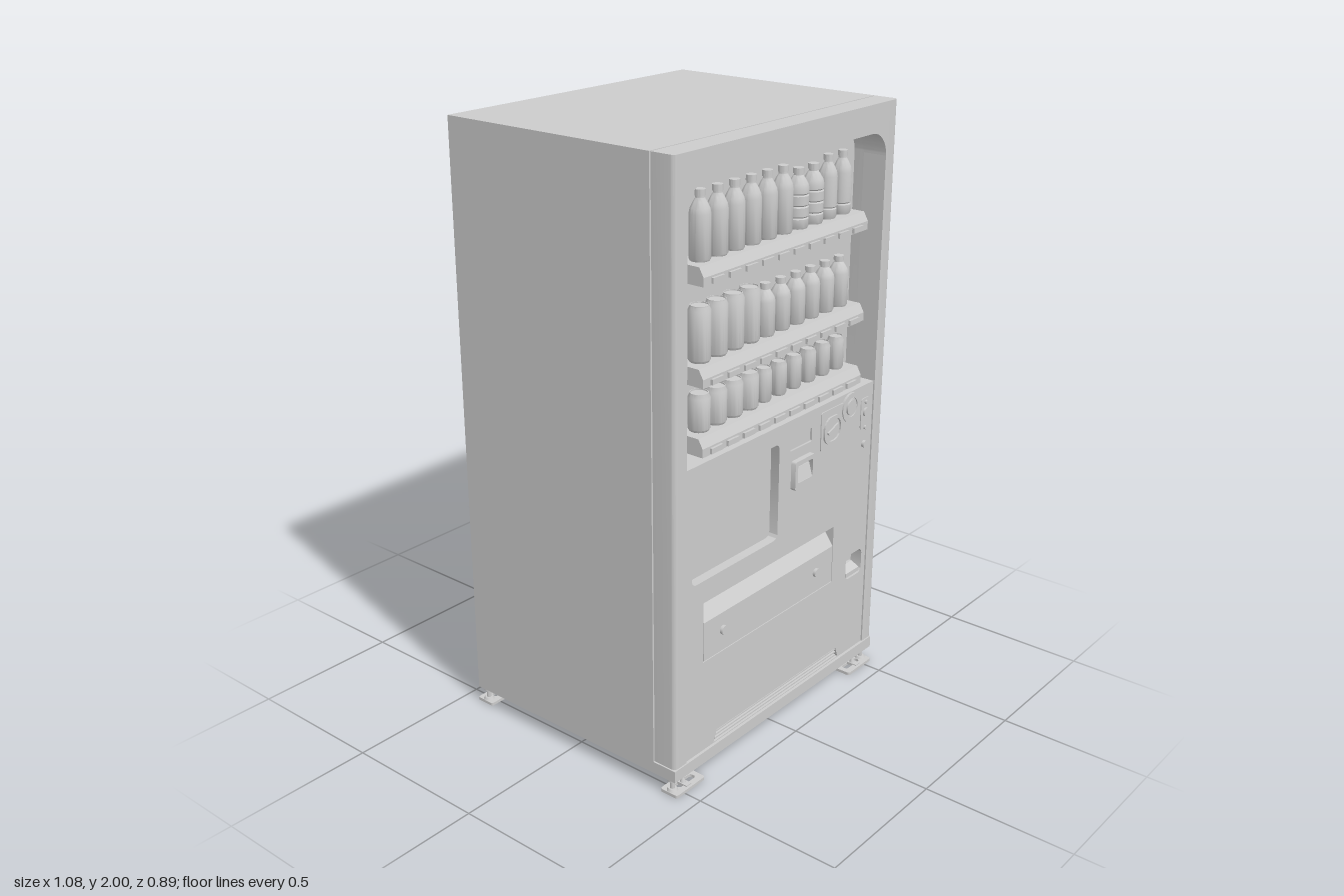
import * as THREE from 'three';
import { toCreasedNormals } from 'three/addons/utils/BufferGeometryUtils.js';

const grey = new THREE.MeshStandardMaterial({ color: 0xcccccc });

export function createModel() {
  const root = new THREE.Group();

  const add = (name, geo, x = 0, y = 0, z = 0, parent = root) => {
    const m = new THREE.Mesh(geo, grey);
    m.name = name;
    m.position.set(x, y, z);
    parent.add(m);
    return m;
  };
  const group = (name) => {
    const g = new THREE.Group();
    g.name = name;
    root.add(g);
    return g;
  };
  // box given by its limits
  const box = (name, x0, x1, y0, y1, z0, z1, parent) =>
    add(name, new THREE.BoxGeometry(x1 - x0, y1 - y0, z1 - z0), (x0 + x1) / 2, (y0 + y1) / 2, (z0 + z1) / 2, parent);
  // outline with rounded corners
  const rounded = (x0, x1, y0, y1, r, Type = THREE.Shape) => {
    const s = new Type();
    s.moveTo(x0 + r, y0);
    s.lineTo(x1 - r, y0).absarc(x1 - r, y0 + r, r, -Math.PI / 2, 0);
    s.lineTo(x1, y1 - r).absarc(x1 - r, y1 - r, r, 0, Math.PI / 2);
    s.lineTo(x0 + r, y1).absarc(x0 + r, y1 - r, r, Math.PI / 2, Math.PI);
    s.lineTo(x0, y0 + r).absarc(x0 + r, y0 + r, r, Math.PI, Math.PI * 1.5);
    return s;
  };
  const poly = (pts, Type = THREE.Shape) => new Type(pts.map(([x, y]) => new THREE.Vector2(x, y)));
  const slab = (name, shape, z0, z1, parent) => {
    const g = new THREE.ExtrudeGeometry(shape, { depth: z1 - z0, bevelEnabled: false, curveSegments: 10 });
    return add(name, toCreasedNormals(g, 0.6), 0, 0, z0, parent);
  };
  // [z, y] side profile swept along x
  const sweepX = (name, pts, x0, x1, parent) => {
    const g = new THREE.ExtrudeGeometry(poly(pts.map(([z, y]) => [-z, y])), { depth: x1 - x0, bevelEnabled: false });
    return add(name, g.rotateY(Math.PI / 2), x0, 0, 0, parent);
  };
  // disc facing the front
  const disc = (name, x, y, r, z0, z1, parent, n = 24) =>
    add(name, new THREE.CylinderGeometry(r, r, z1 - z0, n).rotateX(Math.PI / 2), x, y, (z0 + z1) / 2, parent);

  // cabinet
  const W = 0.54, IN = 0.485, F = 0.432;
  const windowHole = () => {
    const h = new THREE.Path();
    h.moveTo(-IN, 1.08);
    h.lineTo(IN, 1.08).lineTo(IN, 1.83).absarc(IN - 0.08, 1.83, 0.08, 0, Math.PI / 2);
    h.lineTo(-IN + 0.08, 1.91).absarc(-IN + 0.08, 1.83, 0.08, Math.PI / 2, Math.PI);
    return h;
  };
  const frame = (name, w, y0, y1, z0, z1) => {
    const s = poly([[-w, y0], [w, y0], [w, y1], [-w, y1]]);
    s.holes.push(windowHole());
    slab(name, s, z0, z1);
  };
  box('base', -W, W, 0.055, 0.095, -0.44, F);
  box('cabinet', -W, W, 0.095, 2, -0.44, 0.315);
  frame('cabinetRim', W, 0.095, 2, 0.315, 0.345);
  frame('doorSeam', W - 0.006, 0.095, 1.994, 0.345, 0.35);

  // door stiles with rounded outer edge
  for (const s of [-1, 1]) {
    const r = 0.014;
    const p = [[IN, 0.35], [W, 0.35]];
    for (let i = 0; i <= 5; i++) {
      const a = (i / 5) * Math.PI / 2;
      p.push([W - r + r * Math.cos(a), F - r + r * Math.sin(a)]);
    }
    p.push([IN, F]);
    const g = new THREE.ExtrudeGeometry(poly(p.map(([x, z]) => [s * x, -z])), { depth: 1.9, bevelEnabled: false });
    add('doorStile', toCreasedNormals(g.rotateX(-Math.PI / 2), 0.6), 0, 0.1, 0);
  }

  // door top rail with rounded window corners
  const rail = new THREE.Shape();
  rail.moveTo(-IN, 1.83);
  rail.lineTo(-IN, 2).lineTo(IN, 2).lineTo(IN, 1.83);
  rail.absarc(IN - 0.08, 1.83, 0.08, 0, Math.PI / 2);
  rail.lineTo(-IN + 0.08, 1.91).absarc(-IN + 0.08, 1.83, 0.08, Math.PI / 2, Math.PI);
  slab('doorTopRail', rail, 0.35, F);

  // lower front panel with its openings
  const P = 0.427;
  const panel = poly([[-IN, 0.1], [IN, 0.1], [IN, 1.08], [-IN, 1.08]]);
  panel.holes.push(
    rounded(-0.455, -0.032, 0.695, 1.02, 0.02, THREE.Path),
    poly([[-0.4, 0.415], [0.285, 0.415], [0.285, 0.62], [-0.4, 0.62]], THREE.Path),
    rounded(0.368, 0.462, 0.385, 0.475, 0.02, THREE.Path),
    poly([[-0.345, 0.103], [0.34, 0.103], [0.325, 0.142], [-0.33, 0.142]], THREE.Path),
    rounded(0.025, 0.14, 0.975, 1.02, 0.004, THREE.Path));
  slab('lowerPanel', panel, 0.35, P);
  box('displayPanel', -0.46, -0.028, 0.69, 1.025, 0.35, 0.395);
  box('labelPlate', 0.02, 0.145, 0.97, 1.025, 0.35, 0.42);

  // pickup flap with sloped top and two studs
  const pickup = group('pickupFlap');
  sweepX('flap', [[0.35, 0.418], [P, 0.418], [P, 0.55], [0.385, 0.61], [0.35, 0.61]], -0.397, 0.282, pickup);
  for (const x of [-0.305, 0.187]) disc('flapStud', x, 0.49, 0.015, 0.42, 0.437, pickup);

  // coin return cup
  box('coinReturnBack', 0.36, 0.47, 0.38, 0.48, 0.35, 0.385);
  sweepX('coinReturnLip', [[0.38, 0.39], [0.424, 0.39], [0.424, 0.405], [0.395, 0.42], [0.38, 0.42]], 0.378, 0.452);

  // bottom vent
  const vent = group('vent');
  box('ventBack', -0.35, 0.345, 0.1, 0.145, 0.35, 0.395, vent);
  for (let i = 0; i < 3; i++) box('ventSlat', -0.335, 0.33, 0.108 + i * 0.012, 0.113 + i * 0.012, 0.39, 0.424, vent);

  // bill acceptor
  const bill = group('billAcceptor');
  const surround = rounded(0.032, 0.138, 0.842, 0.94, 0.008);
  surround.holes.push(rounded(0.045, 0.125, 0.865, 0.925, 0.005, THREE.Path));
  slab('billSurround', surround, 0.42, 0.445, bill);
  sweepX('billChute', [[0.42, 0.865], [0.443, 0.865], [0.43, 0.91], [0.42, 0.91]], 0.045, 0.125, bill);

  // coin plate with entry, return lever and ring
  const coin = group('coinUnit');
  slab('coinPlate', rounded(0.187, 0.38, 0.922, 1.055, 0.008), 0.42, 0.431, coin);
  const entry = rounded(0.198, 0.298, 0.935, 1.03, 0.04);
  entry.holes.push(rounded(0.208, 0.288, 0.945, 1.02, 0.034, THREE.Path));
  slab('coinEntryRim', entry, 0.43, 0.437, coin);
  box('coinSlot', 0.22, 0.278, 0.98, 0.988, 0.43, 0.437, coin).rotation.z = 0.35;
  const ring = new THREE.Shape().absarc(0.35, 1.028, 0.05, 0, Math.PI * 2);
  ring.holes.push(new THREE.Path().absarc(0.35, 1.028, 0.033, 0, Math.PI * 2));
  slab('leverRing', ring, 0.42, 0.435, coin);
  disc('returnLever', 0.35, 1.028, 0.026, 0.42, 0.437, coin);

  // lock and indicator studs
  slab('lockPlate', rounded(0.415, 0.465, 0.925, 1.035, 0.012), 0.42, 0.43);
  for (const [y, r] of [[1.02, 0.007], [0.985, 0.015], [0.93, 0.007], [0.87, 0.012]]) disc('lockStud', 0.44, y, r, 0.42, 0.437);

  // drinks as lathe profiles [radius, height]
  const lathe = (pts) => toCreasedNormals(
    new THREE.LatheGeometry(pts.map(([r, y]) => new THREE.Vector2(r, y)), 20), 0.6);
  const bottle = (r, h, ribs = 0) => {
    const p = [[0, 0], [r * 0.9, 0], [r, 0.006]];
    for (let i = 0; i < ribs; i++) {
      const y = 0.03 + i * 0.035;
      p.push([r, y], [r * 0.9, y + 0.004], [r, y + 0.008]);
    }
    p.push([r, h * 0.66], [r * 0.9, h * 0.74], [r * 0.62, h * 0.83], [r * 0.42, h * 0.88], [r * 0.42, h * 0.91],
      [r * 0.5, h * 0.91], [r * 0.5, h], [0, h]);
    return lathe(p);
  };
  const can = (r, h) => lathe([[0, 0], [r * 0.85, 0], [r, 0.008], [r, h - 0.014], [r * 0.84, h - 0.003],
    [r * 0.84, h], [r * 0.78, h], [r * 0.78, h - 0.004], [0, h - 0.004]]);
  const tall = bottle(0.032, 0.203), ribbed = bottle(0.034, 0.183, 3), slim = bottle(0.03, 0.198, 1);
  const small = bottle(0.032, 0.163), bigCan = can(0.034, 0.17), midCan = can(0.034, 0.118), slimCan = can(0.027, 0.11);
  const rows = [
    { y: 1.665, pick: (i) => (i < 6 ? tall : i < 8 ? ribbed : slim) },
    { y: 1.365, pick: (i) => (i < 4 ? bigCan : small) },
    { y: 1.152, pick: (i) => (i < 4 ? midCan : slimCan) },
  ];

  // shelves with drinks, price tags and buttons
  for (const { y, pick } of rows) {
    const shelf = group('shelf');
    sweepX('shelfBoard', [[0.31, y - 0.055], [0.428, y - 0.055], [0.428, y - 0.028], [0.412, y], [0.31, y]], -0.41, 0.405, shelf);
    for (let i = 0; i < 10; i++) {
      const x = -0.35 + i * 0.0772;
      add('drink', pick(i), x, y, 0.365, shelf);
      box('selectButton', x - 0.026, x + 0.026, y - 0.051, y - 0.034, 0.42, 0.436, shelf);
    }
  }

  // levelling feet on slotted plates
  for (const sx of [-1, 1]) for (const z of [0.405, -0.414]) {
    const foot = group('foot');
    foot.position.set(sx * 0.47, 0, z);
    const plate = rounded(-0.069, 0.069, -0.034, 0.034, 0.008);
    plate.holes.push(rounded(-0.05, 0.03, -0.012, 0.012, 0.01, THREE.Path));
    const g = new THREE.ExtrudeGeometry(plate, { depth: 0.01, bevelEnabled: false, curveSegments: 5 });
    g.rotateX(-Math.PI / 2);
    if (sx < 0) g.rotateY(Math.PI);
    add('footPlate', g, 0, 0, 0, foot);
    add('footStem', new THREE.CylinderGeometry(0.008, 0.008, 0.055, 12), sx * 0.05, 0.03, 0, foot);
    add('footNut', new THREE.CylinderGeometry(0.016, 0.016, 0.01, 6), sx * 0.05, 0.049, 0, foot);
    add('footCollar', new THREE.CylinderGeometry(0.014, 0.018, 0.008, 16), sx * 0.05, 0.014, 0, foot);
    box('footBridge', -0.012, 0.012, 0.004, 0.013, -0.025, 0.025, foot);
    add('anchorBolt', new THREE.CylinderGeometry(0.004, 0.01, 0.018, 12), 0, 0.02, 0, foot);
  }

  return root;
}
